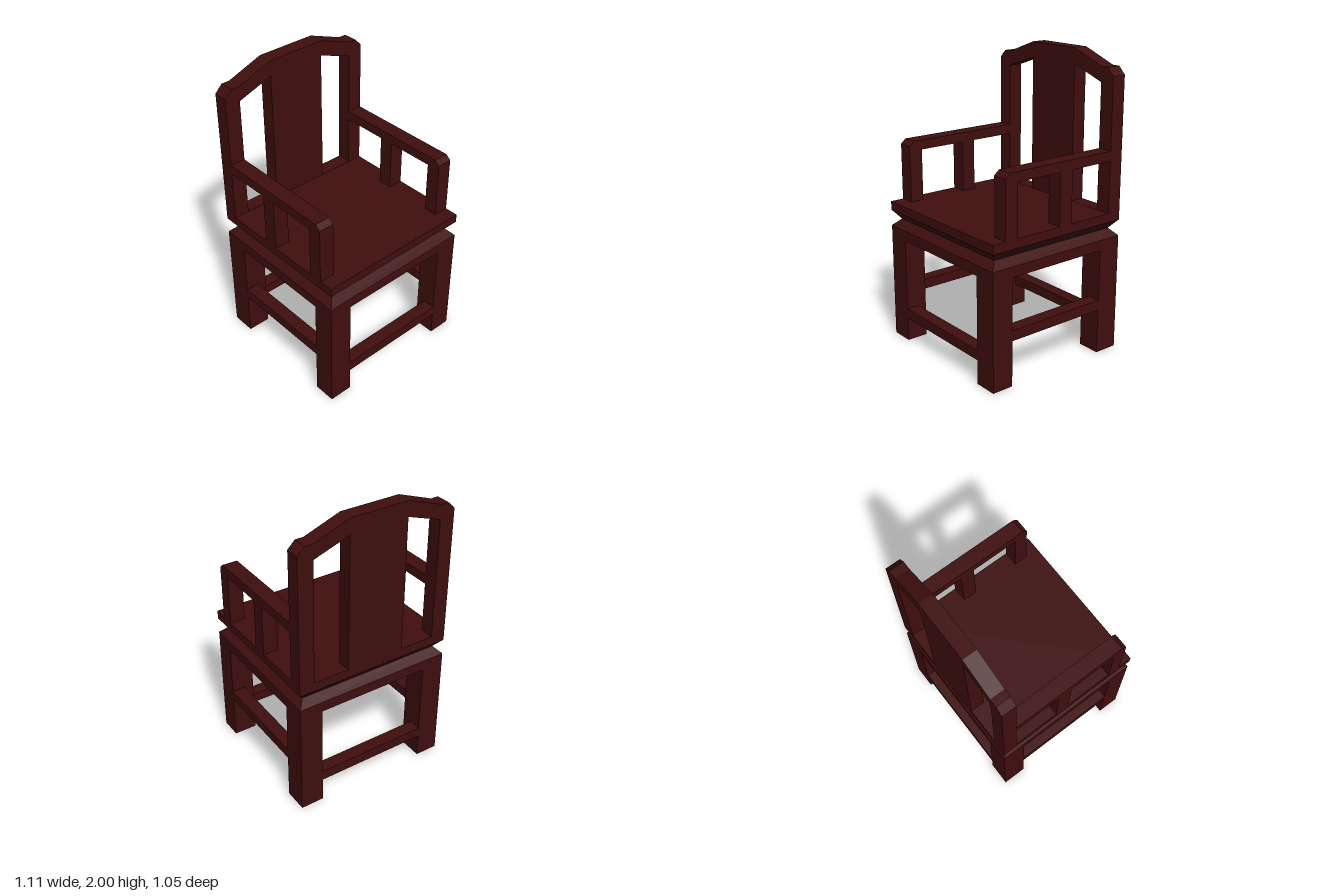
import * as THREE from 'three';

const HX = 0.555, HZ = 0.525; // half width and half depth

export function createModel() {
  const chair = new THREE.Group();
  chair.name = 'armchair';
  const wood = new THREE.MeshStandardMaterial({ color: 0x400e0e });
  wood.name = 'dark red wood';

  const add = (name, geometry) => {
    const mesh = new THREE.Mesh(geometry, wood);
    mesh.name = name;
    chair.add(mesh);
  };

  // box given by its low and high corners
  const block = (name, x0, x1, y0, y1, z0, z1) => {
    const g = new THREE.BoxGeometry(x1 - x0, y1 - y0, z1 - z0);
    g.translate((x0 + x1) / 2, (y0 + y1) / 2, (z0 + z1) / 2);
    add(name, g);
  };

  // slab whose bottom and top edges are inset by different amounts
  const taperedSlab = (name, y0, y1, inset0, inset1) => {
    const g = new THREE.BoxGeometry(2, 1, 2);
    const p = g.attributes.position;
    for (let i = 0; i < p.count; i++) {
      const top = p.getY(i) > 0;
      const inset = top ? inset1 : inset0;
      p.setXYZ(i, p.getX(i) * (HX - inset), top ? y1 : y0, p.getZ(i) * (HZ - inset));
    }
    g.computeVertexNormals();
    add(name, g);
  };

  const outline = (points) => points.map(([x, y]) => new THREE.Vector2(x, y));
  const frame = (points, holes, depth) => {
    const shape = new THREE.Shape(outline(points));
    holes.forEach((h) => shape.holes.push(new THREE.Path(outline(h))));
    return new THREE.ExtrudeGeometry(shape, { depth, bevelEnabled: false });
  };

  // seat: apron, waisted moulding and top board
  taperedSlab('apron', 0.73, 0.8, 0, 0);
  taperedSlab('lowerWaist', 0.8, 0.85, 0, 0.05);
  taperedSlab('upperWaist', 0.85, 0.91, 0.05, 0);
  taperedSlab('seatBoard', 0.91, 0.97, 0, 0);

  // legs and side stretchers, mirrored left and right
  for (const s of [-1, 1]) {
    const side = s > 0 ? 'left' : 'right';
    const span = (a, b) => (s > 0 ? [a, b] : [-b, -a]);
    block(side + 'FrontLeg', ...span(0.395, HX), 0, 0.73, 0.375, HZ);
    block(side + 'BackLeg', ...span(0.395, HX), 0, 0.73, -HZ, -0.36);
    block(side + 'Stretcher', ...span(HX - 0.09, HX), 0.31, 0.38, -0.36, 0.375);

    // armrest with front and middle posts, drawn in z and y
    const arm = frame(
      [[-0.425, 1.32], [-0.1, 1.32], [-0.1, 0.97], [0, 0.97], [0, 1.32], [0.335, 1.32],
        [0.335, 0.97], [0.43, 0.97], [0.43, 1.355], [0.395, 1.385], [-0.425, 1.385]],
      [], 0.105);
    arm.rotateY(-Math.PI / 2);
    arm.translate(s > 0 ? HX : -0.45, 0, 0);
    add(side + 'Armrest', arm);
  }

  // low stretchers at front and back
  block('frontStretcher', -0.395, 0.395, 0.165, 0.235, HZ - 0.09, HZ);
  block('backStretcher', -0.395, 0.395, 0.165, 0.235, -HZ, -HZ + 0.09);

  // backrest: posts, crest rail and wide splat around two openings
  const half = [[HX, 0.97], [HX, 1.86], [0.505, 1.91], [0.45, 1.91], [0.205, 2]];
  const opening = [[0.205, 0.971], [0.45, 0.971], [0.45, 1.81], [0.205, 1.895]];
  const mirror = (pts) => pts.map(([x, y]) => [-x, y]).reverse();
  const back = frame([...half, ...mirror(half)], [opening, mirror(opening)], 0.1);
  back.translate(0, 0, -HZ);
  add('backrest', back);

  return chair;
}
